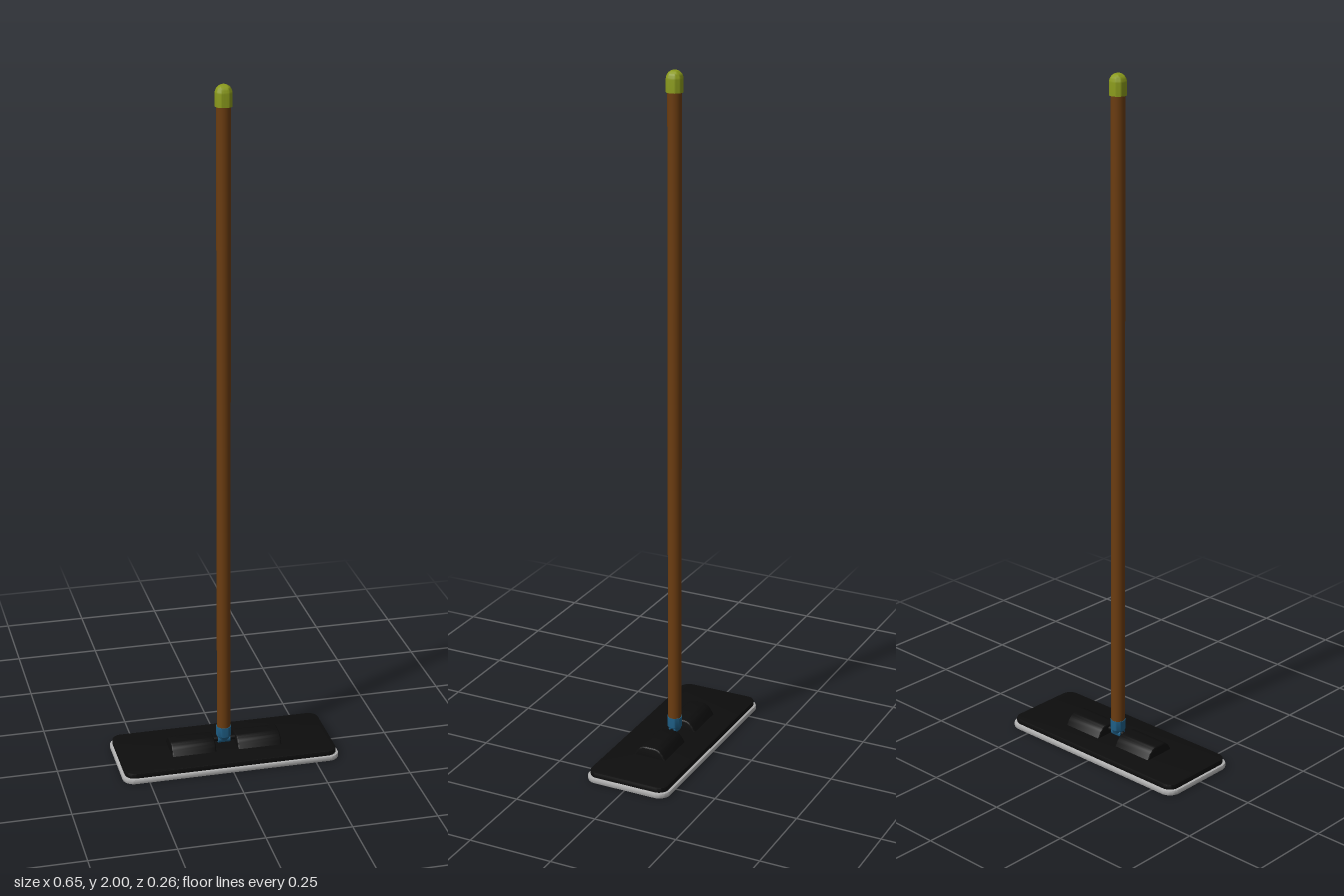
import * as THREE from 'three';
import { toCreasedNormals } from 'three/addons/utils/BufferGeometryUtils.js';

const BLACK = 0x0d0d0d, BLUE = 0x1f6088, WOOD = 0x6b3c10, GREEN = 0x8a9a1c, GREY = 0xb0b0b0;

function part(name, geometry, color) {
  const mesh = new THREE.Mesh(geometry, new THREE.MeshStandardMaterial({ color }));
  mesh.name = name;
  return mesh;
}

// Flat slab with rounded corners, lying between y0 and y1
function slab(halfX, halfZ, radius, y0, y1, bevel) {
  const x = halfX - bevel, z = halfZ - bevel, r = radius - bevel;
  const s = new THREE.Shape();
  s.absarc(x - r, z - r, r, 0, Math.PI / 2);
  s.absarc(-x + r, z - r, r, Math.PI / 2, Math.PI);
  s.absarc(-x + r, -z + r, r, Math.PI, Math.PI * 1.5);
  s.absarc(x - r, -z + r, r, Math.PI * 1.5, Math.PI * 2);
  s.closePath();
  const g = new THREE.ExtrudeGeometry(s, {
    depth: y1 - y0 - 2 * bevel, bevelSize: bevel, bevelThickness: bevel, bevelSegments: 2, curveSegments: 8,
  });
  g.rotateX(-Math.PI / 2).translate(0, y0 + bevel, 0);
  return toCreasedNormals(g, 0.6);
}

// Arched hump running along x, from x0 to x1
function hump(x0, x1) {
  const b = 0.004;
  const s = new THREE.Shape();
  s.moveTo(-0.049, 0.026);
  s.lineTo(0.049, 0.026);
  s.bezierCurveTo(0.042, 0.03, 0.036, 0.056, 0.014, 0.056);
  s.lineTo(-0.014, 0.056);
  s.bezierCurveTo(-0.036, 0.056, -0.042, 0.03, -0.049, 0.026);
  const g = new THREE.ExtrudeGeometry(s, {
    depth: x1 - x0 - 2 * b, bevelSize: b, bevelThickness: b, bevelSegments: 3, curveSegments: 8,
  });
  g.rotateY(Math.PI / 2).translate(x0 + b, 0, 0);
  return toCreasedNormals(g, 0.6);
}

function lathe(points) {
  const g = new THREE.LatheGeometry(points.map(([r, y]) => new THREE.Vector2(r, y)), 32);
  return toCreasedNormals(g, 0.6);
}

export function createModel() {
  const model = new THREE.Group();
  model.name = 'flatMop';

  // Cleaning pad and the plate above it
  model.add(part('cleaningPad', slab(0.325, 0.13, 0.035, 0, 0.015, 0.003), GREY));
  model.add(part('basePlate', slab(0.318, 0.123, 0.03, 0.014, 0.03, 0.003), BLACK));

  // Pair of humps holding the hinge
  model.add(part('leftHump', hump(0.033, 0.165), BLACK));
  model.add(part('rightHump', hump(-0.165, -0.033), BLACK));

  // Hinge pin and joint
  const pin = part('hingePin', new THREE.CylinderGeometry(0.007, 0.007, 0.08, 16).rotateZ(Math.PI / 2), BLACK);
  pin.position.y = 0.046;
  model.add(pin);
  const knuckle = part('hingeKnuckle', new THREE.CylinderGeometry(0.012, 0.012, 0.036, 20).rotateZ(Math.PI / 2), BLUE);
  knuckle.position.y = 0.046;
  model.add(knuckle);
  model.add(part('handleSocket', lathe([
    [0, 0.044], [0.014, 0.044], [0.018, 0.052], [0.022, 0.058], [0.022, 0.088], [0, 0.088],
  ]), BLUE));

  // Handle with a rounded end cap
  const handle = part('handle', new THREE.CylinderGeometry(0.02, 0.02, 1.88, 32), WOOD);
  handle.position.y = 1.02;
  model.add(handle);
  const cap = [[0, 1.94], [0.024, 1.94], [0.024, 1.976]];
  for (let i = 1; i <= 8; i++) {
    const a = (i / 8) * Math.PI / 2;
    cap.push([0.024 * Math.cos(a), 1.976 + 0.024 * Math.sin(a)]);
  }
  model.add(part('endCap', lathe(cap), GREEN));
  return model;
}
